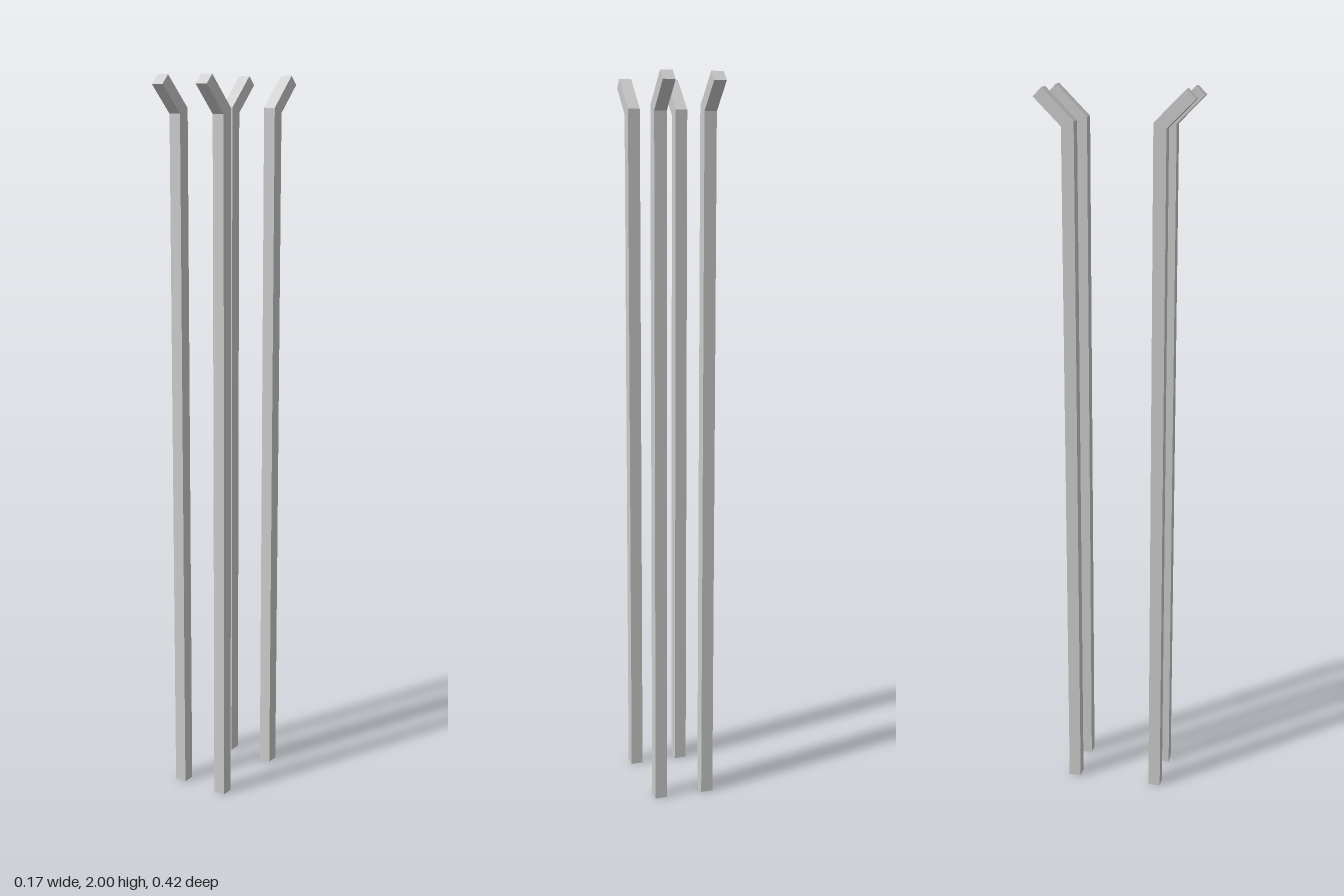
import * as THREE from 'three';

export function createModel() {
  const model = new THREE.Group();
  const material = new THREE.MeshStandardMaterial({ color: 0xcccccc, flatShading: true });

  const width = 0.034;
  const inner = 0.104, outer = inner + width; // pole faces, measured from the centre
  const cap = width * Math.SQRT1_2;           // run of the square-cut tip at 45 degrees
  const tip = 0.188;                          // highest inner edge of the tip
  const innerBend = 2 - (tip - inner);
  const outerBend = innerBend - width * Math.tan(Math.PI / 8);

  // Side profile: straight pole with a mitred 45 degree bend outwards
  const profile = new THREE.Shape([
    [inner, 0], [outer, 0], [outer, outerBend],
    [tip + cap, 2 - cap], [tip, 2], [inner, innerBend],
  ].map(([x, y]) => new THREE.Vector2(x, y)));

  const geometry = new THREE.ExtrudeGeometry(profile, { depth: width, bevelEnabled: false });
  geometry.translate(0, 0, -width / 2);
  geometry.rotateY(-Math.PI / 2); // profile runs outwards along +z

  // Two poles at the front, two turned around at the back
  for (const [end, turn] of [['front', 0], ['back', Math.PI]]) {
    for (const [side, x] of [['Left', 0.0685], ['Right', -0.0685]]) {
      const pole = new THREE.Mesh(geometry, material);
      pole.name = `${end}${side}BentPole`;
      pole.position.x = x;
      pole.rotation.y = turn;
      model.add(pole);
    }
  }
  return model;
}
